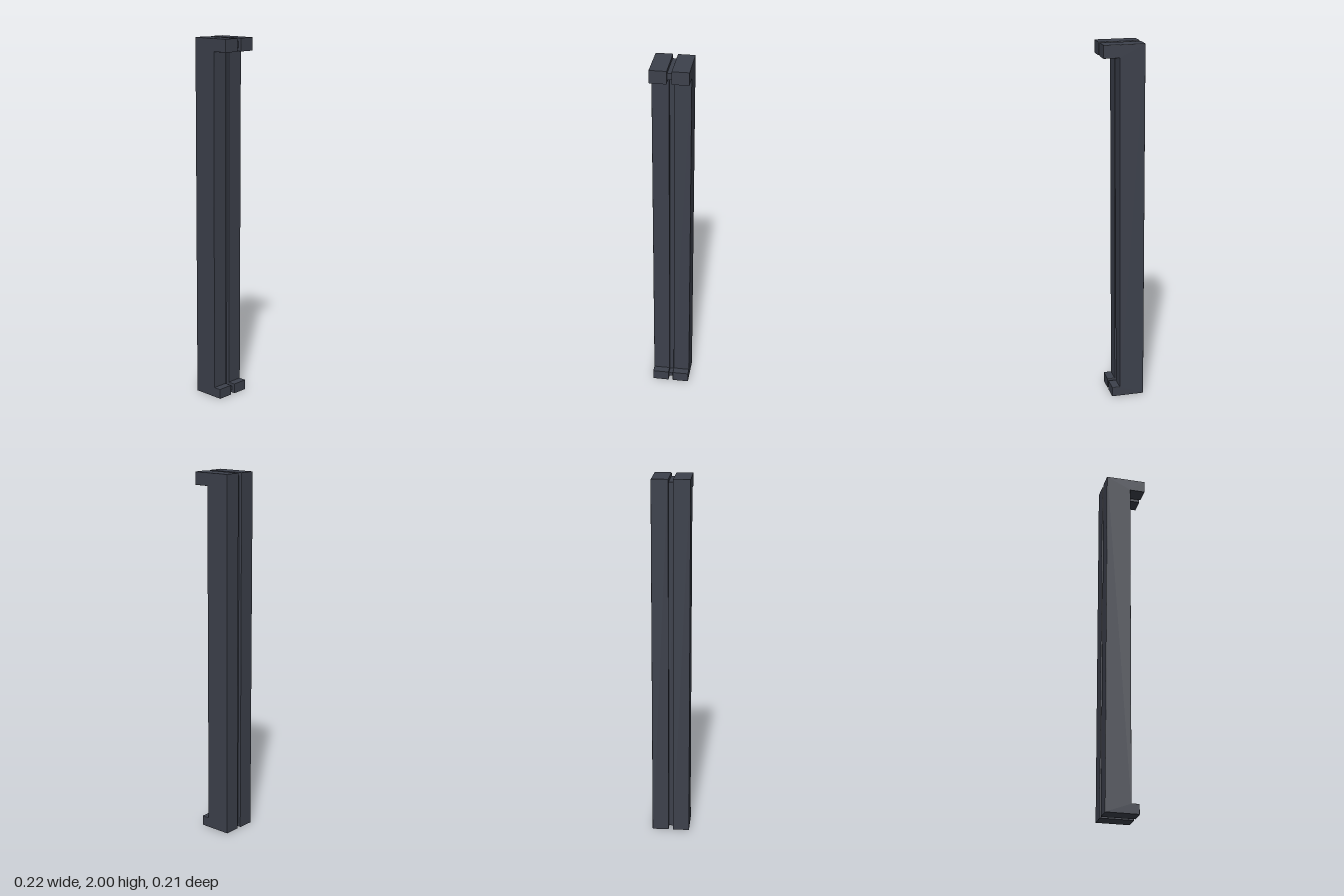
import * as THREE from 'three';

const material = new THREE.MeshStandardMaterial({ color: 0x3c404b });

// Bracket outline: a tall bar with a long top lip and a short bottom lip, shrunk by `inset`
function bracketShape(inset) {
  const i = inset;
  const points = [
    [-0.112 + i, i], [0.07 - i, i], [0.07 - i, 0.056 - i], [0.027 - i, 0.056 - i],
    [0.027 - i, 1.93 + i], [0.112 - i, 1.93 + i], [0.112 - i, 2 - i], [-0.112 + i, 2 - i],
  ];
  return new THREE.Shape(points.map(([x, y]) => new THREE.Vector2(x, y)));
}

// Slab of the outline between two z values, with optional eased cap edges
function slab(name, inset, z0, z1, bevel) {
  const geometry = new THREE.ExtrudeGeometry(bracketShape(inset), {
    depth: z1 - z0 - 2 * bevel,
    bevelEnabled: bevel > 0,
    bevelThickness: bevel,
    bevelSize: bevel,
    bevelOffset: -bevel,
    bevelSegments: 2,
  });
  geometry.translate(0, 0, z0 + bevel);
  const mesh = new THREE.Mesh(geometry, material);
  mesh.name = name;
  return mesh;
}

export function createModel() {
  const group = new THREE.Group();
  group.name = 'doorHandle';

  // Two matching halves with a narrow gap between them
  group.add(slab('frontHalf', 0, 0.012, 0.104, 0.003));
  group.add(slab('backHalf', 0, -0.104, -0.012, 0.003));

  // Recessed core that forms the groove
  group.add(slab('grooveCore', 0.017, -0.014, 0.014, 0));

  return group;
}
